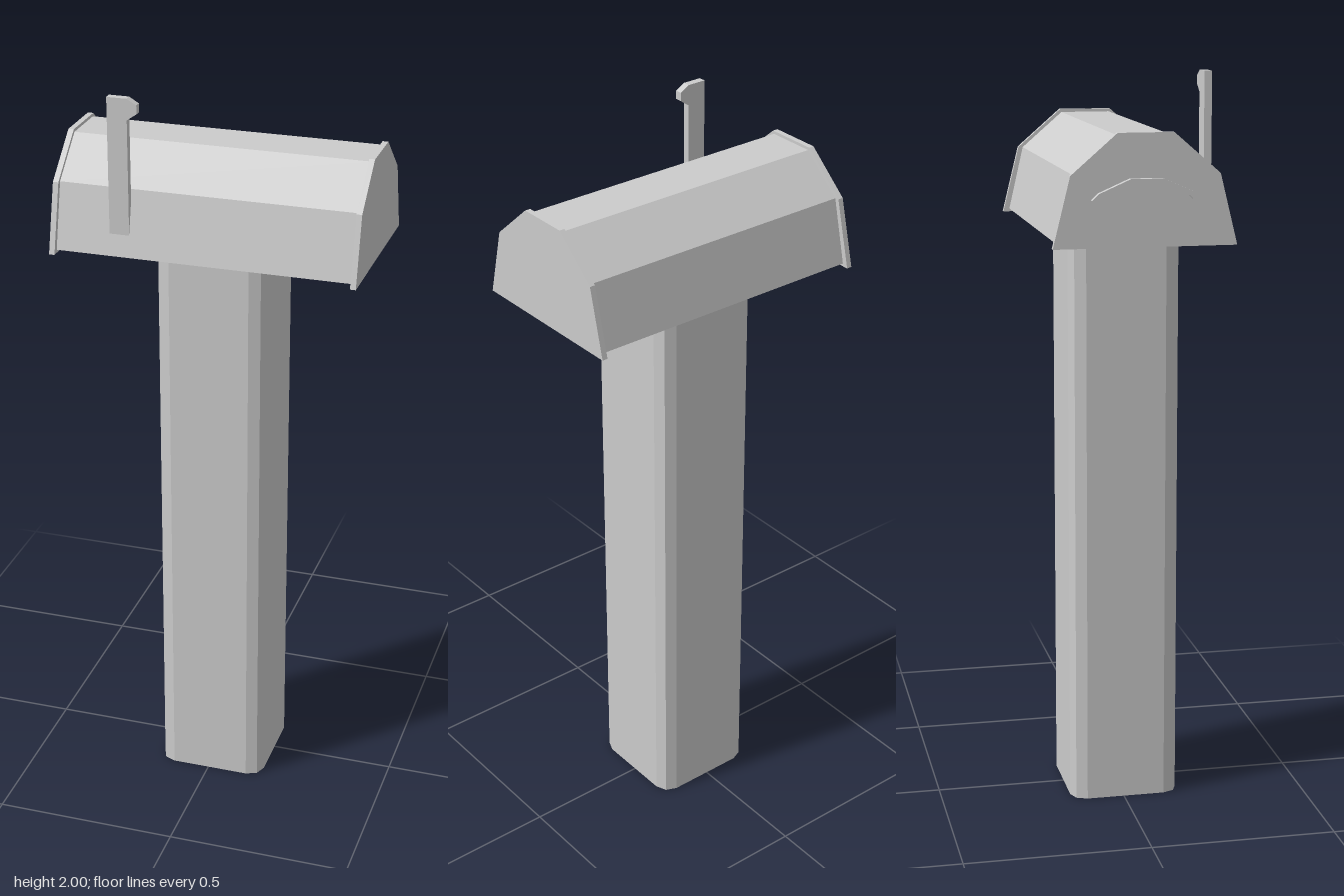
import * as THREE from 'three';

export function createModel() {
  const model = new THREE.Group();
  const material = new THREE.MeshStandardMaterial({
    color: 0xcccccc, flatShading: true, side: THREE.DoubleSide,
  });

  const add = (name, geometry) => {
    const mesh = new THREE.Mesh(geometry, material);
    mesh.name = name;
    model.add(mesh);
    return mesh;
  };
  const shapeOf = (points) => new THREE.Shape(points.map(([a, b]) => new THREE.Vector2(a, b)));
  const extrude = (points, depth) =>
    new THREE.ExtrudeGeometry(shapeOf(points), { depth, bevelEnabled: false });
  // Mirrors half an outline (bottom to top) into a closed one
  const mirrored = (half) => [...half, ...half.map(([a, b]) => [-a, b]).reverse()];
  // Extrudes a (z, y) outline along x from x0 to x1
  const alongX = (points, x0, x1) =>
    extrude(points.map(([z, y]) => [-z, y]), x1 - x0).rotateY(Math.PI / 2).translate(x0, 0, 0);

  // Hollow post with rounded corners, open at both ends
  const half = 0.15, radius = 0.042, height = 1.585;
  const ring = [];
  for (let corner = 0; corner < 4; corner++) {
    const mid = Math.PI / 4 + corner * Math.PI / 2;
    const cx = Math.sign(Math.cos(mid)) * (half - radius);
    const cz = Math.sign(Math.sin(mid)) * (half - radius);
    for (let i = -1; i <= 1; i++) {
      const a = mid + i * Math.PI / 4;
      ring.push([cx + radius * Math.cos(a), cz + radius * Math.sin(a)]);
    }
  }
  const positions = [], index = [];
  ring.forEach(([x, z], i) => {
    const n = (i + 1) % ring.length;
    positions.push(x, 0, z, x, height, z);
    index.push(2 * i, 2 * i + 1, 2 * n + 1, 2 * i, 2 * n + 1, 2 * n);
  });
  const postGeometry = new THREE.BufferGeometry();
  postGeometry.setAttribute('position', new THREE.Float32BufferAttribute(positions, 3));
  postGeometry.setIndex(index);
  postGeometry.computeVertexNormals();
  add('post', postGeometry).position.set(0.005, 0, 0.005);

  // Box with a faceted roof
  add('boxBody', alongX(mirrored([[0.22, 1.582], [0.18, 1.755], [0.068, 1.852]]), -0.39, 0.405));

  // Slightly larger end plates
  const plate = mirrored([[0.237, 1.574], [0.192, 1.756], [0.072, 1.86]]);
  add('door', alongX(plate, -0.4, -0.385));
  add('backPlate', alongX(plate, 0.4, 0.415));

  // Arched door handle
  const outer = [[0.14, 1.695], [0.122, 1.712], [0.042, 1.747]];
  const inner = [[0.118, 1.695], [0.11, 1.703], [0.038, 1.734]];
  add('doorHandle', alongX([...mirrored(outer), ...mirrored(inner).reverse()], -0.417, -0.398));

  // Raised signal flag on the front side
  add('flag', extrude([
    [-0.243, 1.63], [-0.19, 1.63], [-0.19, 1.944], [-0.182, 1.95],
    [-0.164, 1.962], [-0.164, 1.985], [-0.19, 2], [-0.243, 2],
  ], 0.02)).position.z = 0.187;

  return model;
}
